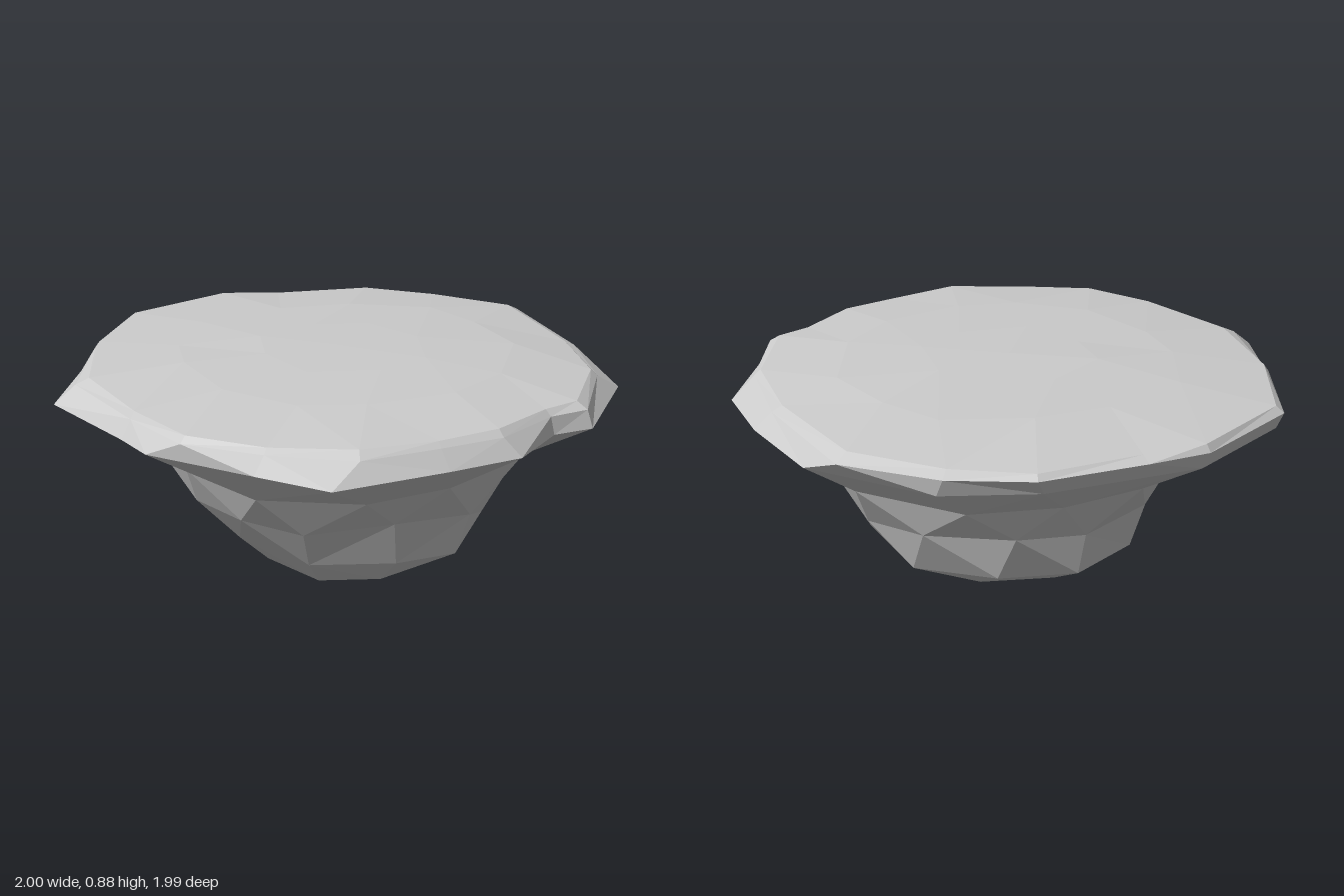
import * as THREE from 'three';

// Seeded jitter in -1..1
let seed = 7;
const jitter = () => {
  seed = (seed * 16807) % 2147483647;
  return (seed / 2147483647) * 2 - 1;
};

const outline = (points, y) => points.map(([x, z]) => new THREE.Vector3(x, y, z));

// Ring of uneven radius, shifted off centre
function roughRing(count, y, rx, rz, cx, cz, roughness, turn, wobble) {
  return Array.from({ length: count }, (_, i) => {
    const a = ((i + turn + 0.15 * jitter()) / count) * Math.PI * 2;
    const r = 1 + roughness * jitter();
    return new THREE.Vector3(cx + rx * r * Math.cos(a), y + wobble * jitter(), cz + rz * r * Math.sin(a));
  });
}

// Angles round the axis, always increasing, closed by a full turn
function angles(ring) {
  const out = [];
  for (const p of ring) {
    let a = Math.atan2(p.z, p.x);
    while (out.length && a < out[out.length - 1]) a += Math.PI * 2;
    out.push(a);
  }
  return [...out, out[0] + Math.PI * 2];
}

// Joins an upper (or inner) ring to a lower (or outer) one, whatever their counts
function stitch(a, b, out) {
  const ta = angles(a), tb = angles(b);
  const na = a.length > 1 ? a.length : 0, nb = b.length > 1 ? b.length : 0;
  let i = 0, j = 0;
  while (i < na || j < nb) {
    const A = a[i % a.length], B = b[j % b.length];
    if (j >= nb || (i < na && ta[i + 1] + ta[i] < tb[j + 1] + tb[j])) {
      i++;
      out.push(A, a[i % a.length], B);
    } else {
      j++;
      out.push(A, b[j % b.length], B);
    }
  }
}

function shell(name, rings) {
  const points = [];
  for (let k = 0; k + 1 < rings.length; k++) stitch(rings[k], rings[k + 1], points);
  const geometry = new THREE.BufferGeometry().setFromPoints(points);
  geometry.computeVertexNormals();
  const mesh = new THREE.Mesh(geometry, new THREE.MeshStandardMaterial({
    color: 0xcccccc, flatShading: true, side: THREE.DoubleSide,
  }));
  mesh.name = name;
  return mesh;
}

export function createModel() {
  seed = 7;
  const group = new THREE.Group();
  group.name = 'floatingIsland';

  // Jagged rim: outer edge and the slightly smaller edge above it
  const outer = outline([
    [1, 0], [0.91, 0.37], [0.79, 0.65], [0.41, 0.92], [0.26, 0.89], [0.03, 0.99],
    [-0.24, 0.95], [-0.65, 0.87], [-0.78, 0.62], [-0.97, 0.25], [-0.97, 0.08], [-1, -0.37],
    [-0.75, -0.65], [-0.36, -0.95], [0.09, -0.97], [0.6, -0.72], [0.85, -0.48],
  ], 0.745);
  const upper = outline([
    [1, -0.17], [0.86, 0.33], [0.68, 0.65], [0.4, 0.9], [0.25, 0.88], [-0.01, 0.94],
    [-0.24, 0.9], [-0.52, 0.84], [-0.74, 0.62], [-0.91, 0.38], [-0.93, 0.08], [-0.92, -0.35],
    [-0.66, -0.7], [-0.36, -0.98], [0.09, -1], [0.3, -0.91], [0.65, -0.74], [0.85, -0.51],
  ], 0.81);

  // Gently domed ground, its edge almost reaching the rim
  const edge = upper.map((p) => {
    const s = 0.965 + 0.02 * jitter();
    return new THREE.Vector3(p.x * s, 0.832 + 0.006 * jitter(), p.z * s);
  });
  group.add(shell('ground', [
    [new THREE.Vector3(0, 0.88, 0)],
    roughRing(8, 0.876, 0.32, 0.32, 0, 0, 0.1, 0.3, 0.003),
    roughRing(13, 0.863, 0.62, 0.62, 0, 0, 0.06, 0.1, 0.004),
    edge, upper,
  ]));

  // Flared overhang below the rim
  const neck = roughRing(12, 0.545, 0.71, 0.67, 0, 0.02, 0.03, 0, 0.008);
  group.add(shell('rim', [upper, outer, neck]));

  // Faceted rock tapering to a blunt tip
  group.add(shell('rock', [
    neck,
    roughRing(12, 0.375, 0.61, 0.55, 0, 0.015, 0.035, 0.4, 0.025),
    roughRing(10, 0.205, 0.49, 0.52, 0.03, 0.015, 0.04, 0, 0.02),
    roughRing(8, 0.09, 0.35, 0.37, 0.02, 0.03, 0.05, 0.4, 0.015),
    roughRing(5, 0.025, 0.17, 0.15, 0, 0, 0.08, 0.1, 0.006),
    [new THREE.Vector3(-0.05, 0, 0.08)],
  ]));
  return group;
}
